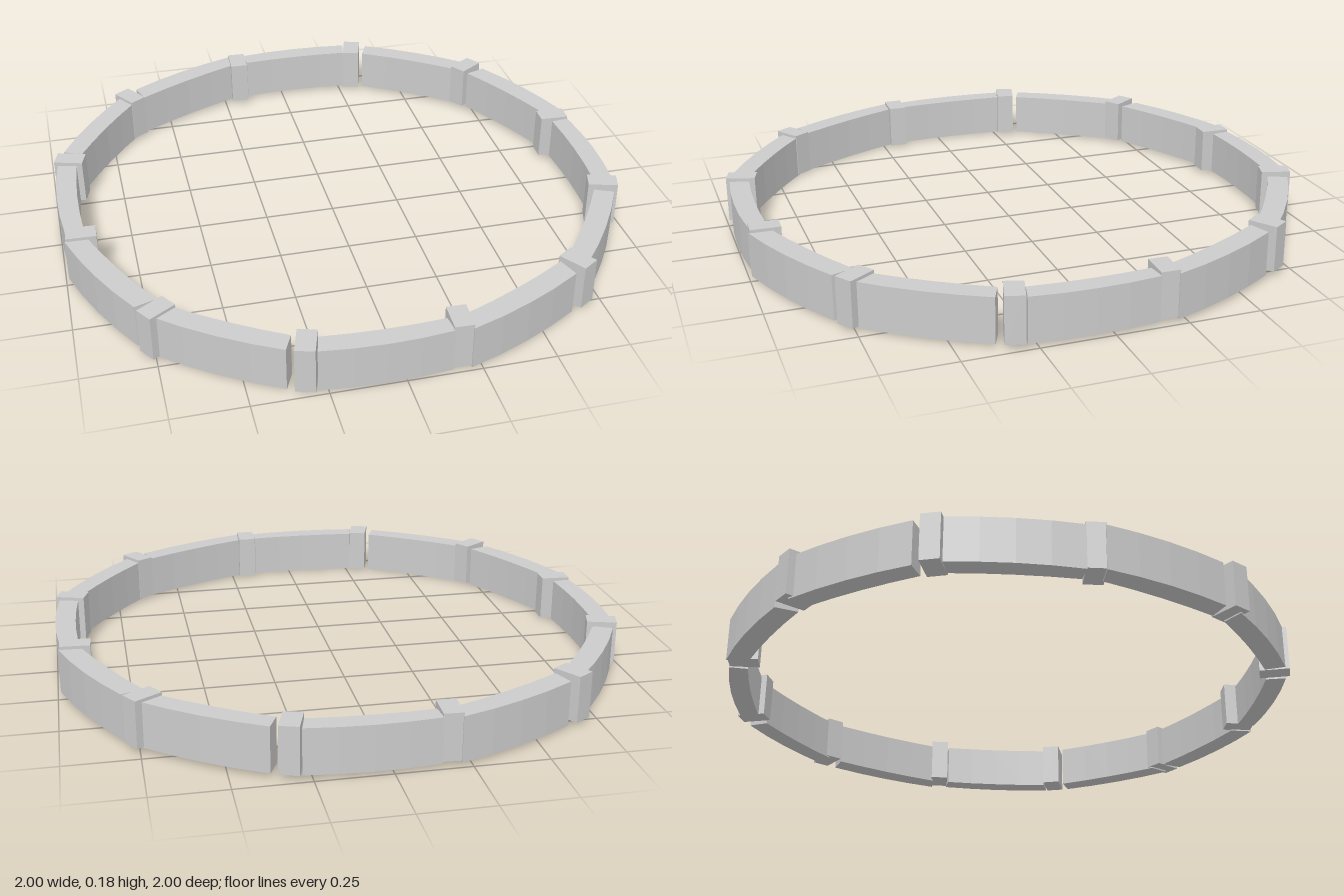
import * as THREE from 'three';

const material = new THREE.MeshStandardMaterial({ color: 0xcccccc, flatShading: true });
const WALL = { bottom: 0.008, height: 0.157 };
const POST = { width: 0.066, height: 0.163, depth: 0.105, bottom: 0.013 };

// Plan corners (x, -z) of the three wall panels in one quarter of the ring
const walls = [
  { outer: [[-0.155, 0.985], [0.283, 0.98]], inner: [[-0.148, 0.92], [0.265, 0.912]] },
  { outer: [[0.375, 0.95], [0.755, 0.69]], inner: [[0.345, 0.885], [0.688, 0.652]] },
  { outer: [[0.8, 0.63], [0.99, 0.215]], inner: [[0.725, 0.605], [0.912, 0.215]] },
];

// Plan centre (x, z) and heading in degrees of the three posts in one quarter
const posts = [
  { x: -0.187, z: -0.932, angle: 2 },
  { x: 0.308, z: -0.932, angle: 17 },
  { x: 0.734, z: -0.662, angle: 57 },
];

// Control point that bows an edge outward from its chord
function bowPoint(a, b, bow) {
  const dx = b[0] - a[0], dy = b[1] - a[1], length = Math.hypot(dx, dy);
  return [(a[0] + b[0]) / 2 - (dy / length) * 2 * bow, (a[1] + b[1]) / 2 + (dx / length) * 2 * bow];
}

function createWall({ outer, inner }) {
  const shape = new THREE.Shape();
  shape.moveTo(...outer[0]);
  shape.quadraticCurveTo(...bowPoint(...outer, 0.015), ...outer[1]);
  shape.lineTo(...inner[1]);
  shape.quadraticCurveTo(...bowPoint(...inner, 0.009), ...inner[0]);
  shape.closePath();
  const geometry = new THREE.ExtrudeGeometry(shape, { depth: WALL.height, bevelEnabled: false, curveSegments: 4 });
  geometry.rotateX(-Math.PI / 2);
  const mesh = new THREE.Mesh(geometry, material);
  mesh.name = 'curvedWall';
  mesh.position.y = WALL.bottom;
  return mesh;
}

function createPost({ x, z, angle }) {
  const mesh = new THREE.Mesh(new THREE.BoxGeometry(POST.width, POST.height, POST.depth), material);
  mesh.name = 'jointPost';
  mesh.position.set(x, POST.bottom + POST.height / 2, z);
  mesh.rotation.y = -THREE.MathUtils.degToRad(angle);
  return mesh;
}

export function createModel() {
  const model = new THREE.Group();
  model.name = 'ringWall';

  // The ring leans very slightly up toward the back left
  const ring = new THREE.Group();
  ring.name = 'ring';
  ring.rotation.set(0.005, 0, 0.005);
  model.add(ring);

  // Four identical quarters of three walls and three posts
  for (let i = 0; i < 4; i++) {
    const quarter = new THREE.Group();
    quarter.name = 'quarter';
    quarter.rotation.y = -i * Math.PI / 2;
    quarter.add(...walls.map(createWall), ...posts.map(createPost));
    ring.add(quarter);
  }
  return model;
}
